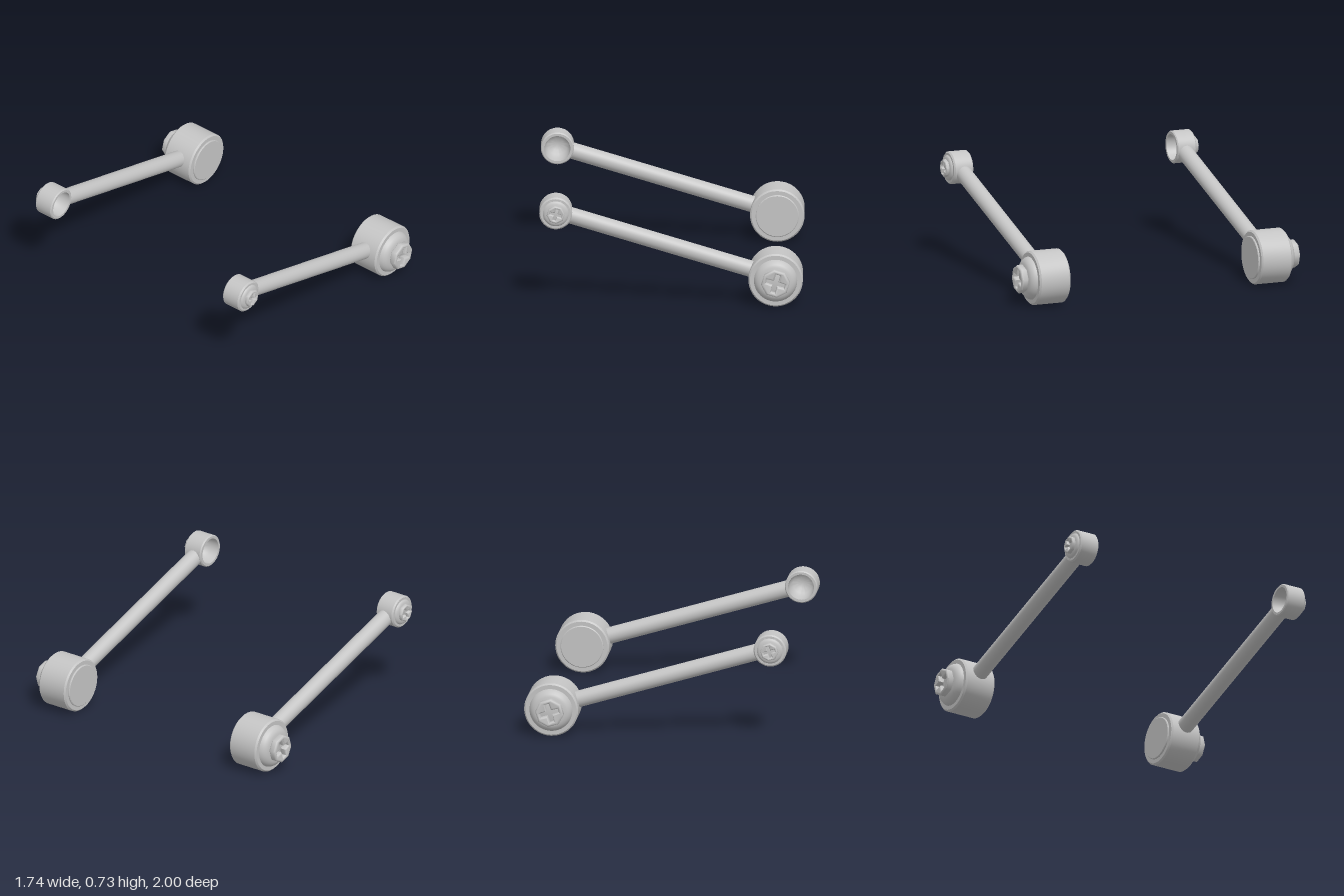
import * as THREE from 'three';
import { toCreasedNormals } from 'three/addons/utils/BufferGeometryUtils.js';

const BIG = new THREE.Vector2(0.69, 0.18);
const SMALL = new THREE.Vector2(-0.763, 0.625);
const ROD_Z = 0.797;
const TILT = Math.atan2(BIG.y - SMALL.y, BIG.x - SMALL.x);

// Profile of [radius, z] pairs turned about the z axis
function turned(profile, segments = 48) {
  const points = profile.map(([r, z]) => new THREE.Vector2(r, z));
  return toCreasedNormals(new THREE.LatheGeometry(points, segments).rotateX(Math.PI / 2), 0.6);
}

// Octagonal bolt head with softened edges and a cross-shaped socket
function boltHead(radius, z0, z1) {
  const shape = new THREE.Shape();
  const bevel = radius * 0.13;
  for (let i = 0; i < 8; i++) {
    const a = (i + 0.5) * Math.PI / 4, r = radius - bevel;
    shape[i ? 'lineTo' : 'moveTo'](r * Math.cos(a), r * Math.sin(a));
  }
  const cross = new THREE.Path();
  const tip = radius * 0.8, w = radius * 0.28, neck = radius * 0.3;
  for (let i = 0; i < 4; i++) {
    [[tip, -w], [tip, w], [neck, neck]].forEach(([x, y], j) => {
      const p = new THREE.Vector2(x, y).rotateAround(new THREE.Vector2(), i * Math.PI / 2);
      cross[i + j ? 'lineTo' : 'moveTo'](p.x, p.y);
    });
  }
  shape.holes.push(cross);
  const geometry = new THREE.ExtrudeGeometry(shape, {
    depth: z1 - z0 - 2 * bevel, bevelThickness: bevel, bevelSize: bevel, bevelSegments: 3,
  });
  return toCreasedNormals(geometry.rotateZ(TILT).translate(0, 0, z0 + bevel), 0.82);
}

// Reflects a geometry in z and restores its winding
function mirrorZ(geometry) {
  const g = geometry.index ? geometry.toNonIndexed() : geometry.clone();
  g.scale(1, 1, -1);
  g.setIndex([...Array(g.attributes.position.count).keys()].reverse());
  return g;
}

export function createModel() {
  const model = new THREE.Group();
  model.name = 'stabilizerLinks';
  const steel = new THREE.MeshStandardMaterial({ color: 0xc4c4c4 });
  steel.name = 'light grey steel';

  // Closed large joint with rear cover and domed boot
  const largeJoint = turned([
    [0, 0.676], [0.138, 0.676], [0.143, 0.68], [0.143, 0.686], [0.17, 0.686],
    [0.18, 0.696], [0.18, 0.897], [0.17, 0.908], [0.143, 0.908],
    [0.139, 0.92], [0.131, 0.933], [0.118, 0.945], [0.1, 0.953], [0, 0.954],
  ]).translate(BIG.x, BIG.y, 0);

  // Small eye with a bowl-shaped opening on the inner side
  const smallJoint = turned([
    [0, 0.85], [0.04, 0.843], [0.066, 0.825], [0.081, 0.795], [0.086, 0.734],
    [0.102, 0.734], [0.109, 0.741], [0.109, 0.862], [0.1, 0.871], [0.085, 0.871],
    [0.08, 0.879], [0.068, 0.885], [0, 0.885],
  ]).translate(SMALL.x, SMALL.y, 0);

  // Rod joining the two eyes
  const span = BIG.distanceTo(SMALL);
  const start = 0.092, end = span - 0.12;
  const rod = new THREE.CylinderGeometry(0.055, 0.055, end - start, 32)
    .rotateZ(-Math.PI / 2)
    .translate((start + end) / 2, 0, 0)
    .rotateZ(TILT)
    .translate(SMALL.x, SMALL.y, ROD_Z);

  const parts = {
    largeJoint,
    smallJoint,
    rod,
    largeBolt: boltHead(0.094, 0.95, 1.0).translate(BIG.x, BIG.y, 0),
    smallBolt: boltHead(0.059, 0.875, 0.908).translate(SMALL.x, SMALL.y, 0),
  };

  for (const side of ['front', 'back']) {
    const link = new THREE.Group();
    link.name = side + 'Link';
    for (const [name, geometry] of Object.entries(parts)) {
      const mesh = new THREE.Mesh(side === 'front' ? geometry : mirrorZ(geometry), steel);
      mesh.name = name;
      link.add(mesh);
    }
    model.add(link);
  }
  return model;
}
